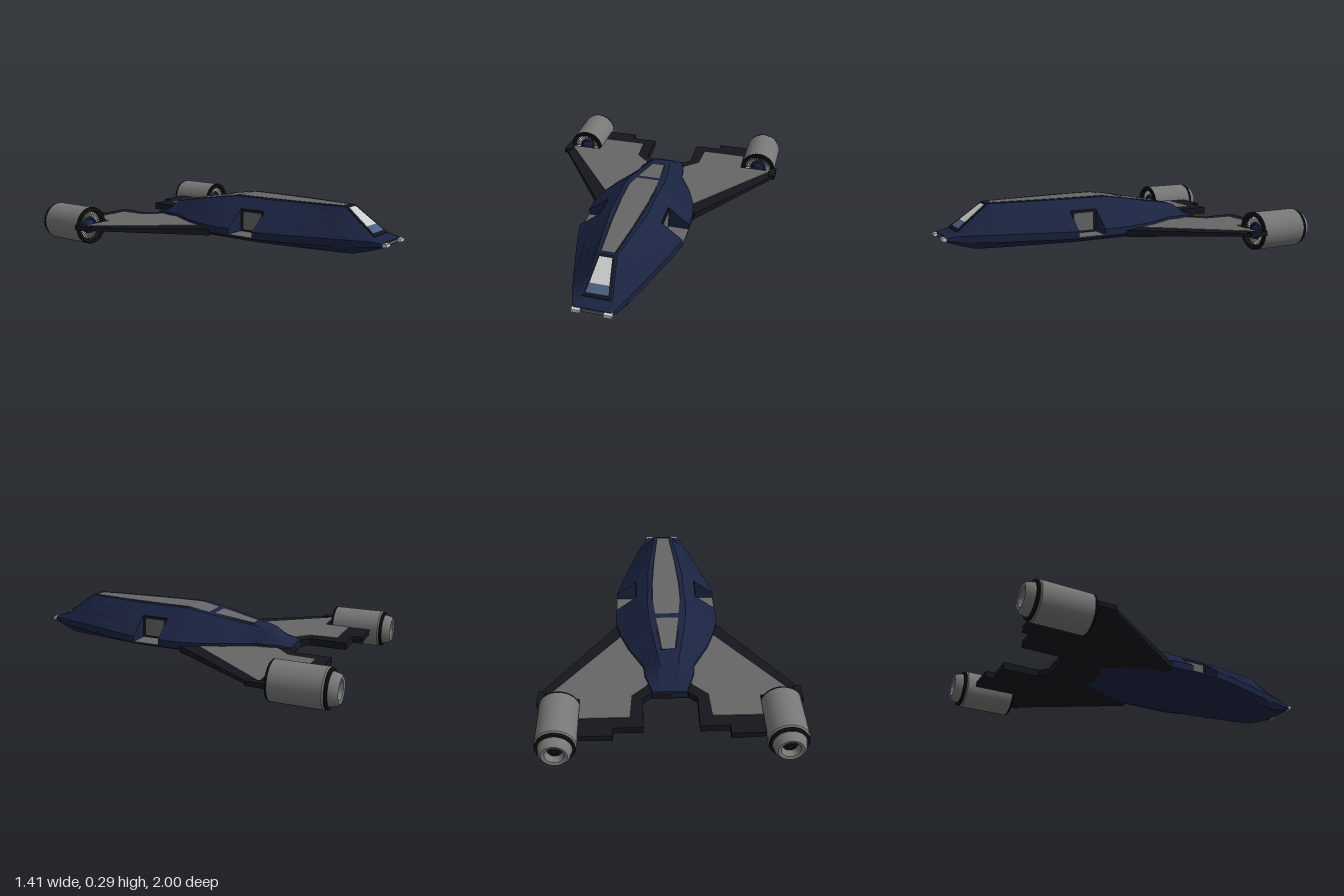
import * as THREE from 'three';
import { toCreasedNormals } from 'three/addons/utils/BufferGeometryUtils.js';

const paint = (color, extra = {}) => new THREE.MeshStandardMaterial({ color, ...extra });
const navy = paint(0x1a2340, { flatShading: true });
const black = paint(0x14161d, { flatShading: true });
const plate = paint(0x666666, { flatShading: true });
const blue = paint(0x4a5f80, { flatShading: true });
const light = paint(0xcccccc, { flatShading: true });
const engineGrey = paint(0x777777);
const engineBlack = paint(0x121212);

// Closed rings, front to back, counter-clockwise seen from the front
function loft(rings) {
  const n = rings[0].length, last = (rings.length - 1) * n, index = [];
  for (let i = 0; i < rings.length - 1; i++) {
    for (let j = 0; j < n; j++) {
      const a = i * n + j, b = i * n + (j + 1) % n;
      index.push(a, a + n, b, b, a + n, b + n);
    }
  }
  for (let j = 1; j < n - 1; j++) {
    index.push(0, j, j + 1, last, last + j + 1, last + j);
  }
  const g = new THREE.BufferGeometry();
  g.setAttribute('position', new THREE.Float32BufferAttribute(rings.flat(2), 3));
  g.setIndex(index);
  const flat = g.toNonIndexed();
  flat.computeVertexNormals();
  return flat;
}

// Thin strip lying on the hull; rows are [z, half width, top y]
const strip = rows => loft(rows.map(([z, w, y]) =>
  [[-w, y - 0.015, z], [w, y - 0.015, z], [w, y, z], [-w, y, z]]));

// Flat slab from an [x, z] outline, with bottom and top heights as rules of |x|
function slab(outline, side, bottom, top) {
  const shape = new THREE.Shape(outline.map(([x, z]) => new THREE.Vector2(x * side, -z)));
  const g = new THREE.ExtrudeGeometry(shape, { depth: 1, bevelEnabled: false });
  g.rotateX(-Math.PI / 2);
  const p = g.attributes.position;
  for (let i = 0; i < p.count; i++) {
    const x = Math.abs(p.getX(i));
    p.setY(i, p.getY(i) > 0.5 ? top(x) : bottom(x));
  }
  g.computeVertexNormals();
  return g;
}

// Turned part along z; points are [radius, z], back to front
function turned(points) {
  const g = new THREE.LatheGeometry(points.map(([r, z]) => new THREE.Vector2(r, z)), 32);
  g.rotateX(Math.PI / 2);
  return toCreasedNormals(g, 0.6);
}

function add(parent, name, geometry, material, x = 0, y = 0, z = 0) {
  const mesh = new THREE.Mesh(geometry, material);
  mesh.name = name;
  mesh.position.set(x, y, z);
  parent.add(mesh);
  return mesh;
}

// Hull stations: z, side half width, side low y, side high y, belly half width, belly y, roof half width, roof y
const stations = [
  [0.98, 0.105, 0.115, 0.13, 0.10, 0.11, 0.09, 0.135],
  [0.92, 0.125, 0.11, 0.14, 0.11, 0.09, 0.085, 0.15],
  [0.83, 0.155, 0.105, 0.14, 0.13, 0.066, 0.07, 0.216],
  [0.73, 0.185, 0.10, 0.14, 0.15, 0.065, 0.055, 0.29],
  [0.45, 0.265, 0.10, 0.14, 0.19, 0.065, 0.09, 0.29],
  [0.30, 0.30, 0.10, 0.14, 0.21, 0.065, 0.105, 0.29],
  [0.30, 0.30, 0.10, 0.14, 0.21, 0.065, 0.105, 0.29, true],
  [0.14, 0.30, 0.10, 0.14, 0.21, 0.065, 0.105, 0.29, true],
  [0.14, 0.30, 0.10, 0.14, 0.21, 0.065, 0.105, 0.29],
  [0.05, 0.30, 0.10, 0.14, 0.21, 0.065, 0.11, 0.29],
  [0.00, 0.295, 0.10, 0.14, 0.21, 0.065, 0.11, 0.284],
  [-0.10, 0.27, 0.10, 0.14, 0.20, 0.065, 0.105, 0.268],
  [-0.22, 0.225, 0.10, 0.14, 0.17, 0.075, 0.088, 0.245],
  [-0.38, 0.14, 0.10, 0.14, 0.11, 0.083, 0.06, 0.217],
  [-0.45, 0.135, 0.10, 0.14, 0.10, 0.086, 0.05, 0.20],
  [-0.53, 0.11, 0.10, 0.135, 0.09, 0.09, 0.05, 0.145],
  [-0.58, 0.09, 0.10, 0.125, 0.08, 0.092, 0.05, 0.13],
];

// The door stations cut a square niche into the flank
function hullRing([z, w, yl, yh, wb, yb, wt, yt, niche]) {
  const on = t => [w + (wt - w) * t, yh + (yt - yh) * t];
  const a = on(0.33), b = on(0.633);
  const half = niche
    ? [[wb, yb], [w, yl], [w, 0.105], [b[0], 0.105], b, [wt, yt]]
    : [[wb, yb], [w, yl], [w, yh], a, b, [wt, yt]];
  const right = half.map(([x, y]) => [x, y, z]);
  const left = half.map(([x, y]) => [-x, y, z]).reverse();
  return [...right, ...left];
}

function buildEngine(side) {
  const engine = new THREE.Group();
  engine.name = 'engine';
  engine.position.set(0.585 * side, 0.1075, 0);
  add(engine, 'engineCasing', turned([[0.1, -0.938], [0.1075, -0.93], [0.1075, -0.66]]), engineGrey);
  add(engine, 'rearBand', turned([[0.08, -0.953], [0.1, -0.953], [0.104, -0.945], [0.1, -0.936]]), engineBlack);
  add(engine, 'nozzle', turned([[0.038, -0.96], [0.05, -0.995], [0.066, -1], [0.08, -0.986], [0.088, -0.95]]), engineGrey);
  add(engine, 'nozzleCore', turned([[0, -0.975], [0.018, -0.975], [0.02, -0.962], [0.045, -0.962]]), engineBlack);
  add(engine, 'intakeRim', turned([[0.1075, -0.66], [0.1075, -0.65], [0.102, -0.645], [0.086, -0.645], [0.082, -0.68], [0, -0.68]]), engineBlack);
  // Fan of thin radial blades around a domed hub
  const blade = new THREE.BoxGeometry(0.03, 0.0025, 0.012).translate(0.065, 0, 0);
  for (let i = 0; i < 36; i++) {
    add(engine, 'fanBlade', blade, light, 0, 0, -0.672).rotation.z = i * Math.PI / 18;
  }
  add(engine, 'fanHub', turned([[0.048, -0.68], [0.048, -0.664], [0.038, -0.66], [0.034, -0.664], [0.02, -0.654], [0, -0.65]]), navy);
  return engine;
}

const wingOutline = [
  [0.30, 0], [0.69, -0.55], [0.69, -0.62], [0.48, -0.62], [0.485, -0.885], [0.30, -0.885],
  [0.30, -0.83], [0.145, -0.83], [0.145, -0.62], [0.10, -0.58], [0, -0.58], [0, -0.05],
];
const panelOutline = [
  [0.20, -0.03], [0.27, -0.10], [0.66, -0.60], [0.655, -0.615], [0.48, -0.615], [0.475, -0.76],
  [0.215, -0.76], [0.205, -0.60], [0.13, -0.53], [0.08, -0.45],
];

export function createModel() {
  const ship = new THREE.Group();
  ship.name = 'spaceship';

  add(ship, 'hull', loft(stations.map(hullRing)), navy);

  // Spine panel and its dark border along the roof
  const spine = [[0.71, 0.035], [0.45, 0.06], [0.2, 0.076], [0.05, 0.078], [0, 0.075], [-0.1, 0.065], [-0.22, 0.05], [-0.34, 0.035]];
  const roof = z => z > 0.05 ? 0.29 : 0.29 + (z - 0.05) * 0.168;
  add(ship, 'spineBorder', strip(spine.map(([z, w]) => [z, w + 0.01, roof(z) + 0.001])), black);
  add(ship, 'spinePanel', strip(spine.map(([z, w]) => [z, w, roof(z) + 0.003])), plate);

  // Windshield on the sloping nose
  const slope = z => 0.29 - (z - 0.73) * 0.737;
  const pane = (rows, lift) => strip(rows.map(([z, w]) => [z, w, slope(z) + lift]));
  add(ship, 'windshieldFrame', pane([[0.915, 0.076], [0.735, 0.046]], 0.003), black);
  add(ship, 'windshield', pane([[0.86, 0.052], [0.745, 0.034]], 0.006), light);
  add(ship, 'windshieldLower', pane([[0.902, 0.06], [0.86, 0.052]], 0.006), blue);

  // Nose strip
  add(ship, 'noseStrip', new THREE.BoxGeometry(0.11, 0.014, 0.02), plate, 0, 0.123, 0.974);

  for (const side of [1, -1]) {
    add(ship, 'headlight', new THREE.BoxGeometry(0.045, 0.018, 0.04), light, 0.083 * side, 0.123, 0.98);

    // Door niche: step, frame and door
    add(ship, 'doorStep', new THREE.BoxGeometry(0.115, 0.006, 0.158), plate, 0.242 * side, 0.105, 0.22);
    add(ship, 'doorFrame', new THREE.BoxGeometry(0.01, 0.128, 0.158), black, 0.178 * side, 0.171, 0.22);
    add(ship, 'door', new THREE.BoxGeometry(0.01, 0.1, 0.12), plate, 0.181 * side, 0.17, 0.22);

    // Wing with raised plating and tip bracket
    const under = x => 0.08 + Math.max(0, x - 0.25) * 0.055;
    add(ship, 'wing', slab(wingOutline, side, under, () => 0.121), black);
    add(ship, 'wingPanel', slab(panelOutline, side, () => 0.115, () => 0.125), plate);
    add(ship, 'wingTip', new THREE.BoxGeometry(0.04, 0.026, 0.105), black, 0.686 * side, 0.114, -0.6025);

    ship.add(buildEngine(side));
  }
  return ship;
}
